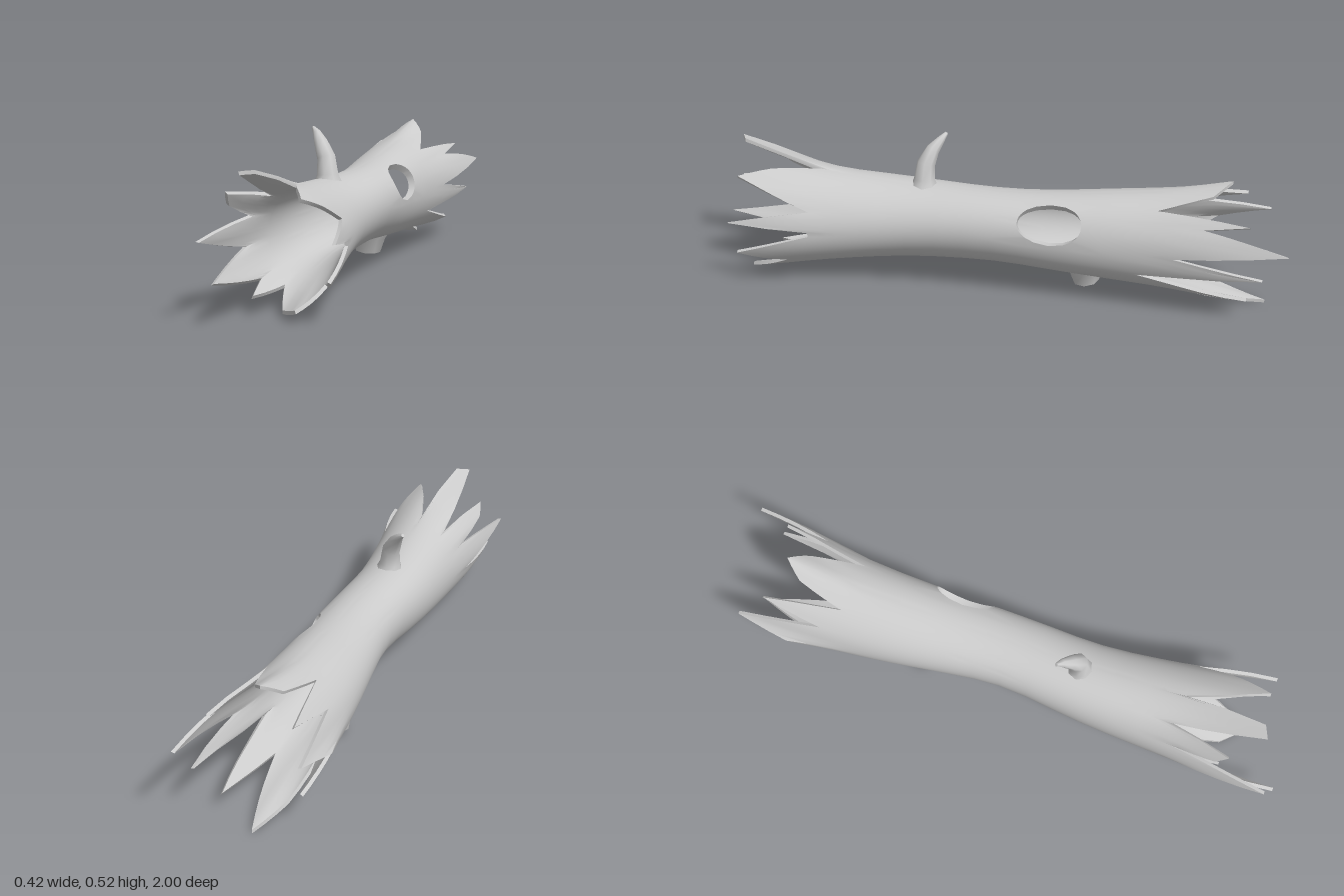
import * as THREE from 'three';
import { toCreasedNormals } from 'three/addons/utils/BufferGeometryUtils.js';

const COLS = 72; // one column of the shell every 5 degrees

// splintered ends: [angle in degrees, z, radius at a tip (optional)]
const FRONT = [
  [0, 0.63], [10, 0.9, 0.21], [25, 0.63], [45, 0.78], [60, 0.89, 0.19], [75, 0.78], [90, 0.62],
  [100, 0.9, 0.25], [110, 0.92, 0.26], [125, 0.6], [135, 0.82, 0.24], [145, 0.78, 0.22], [155, 0.64],
  [170, 0.97, 0.21], [190, 0.65], [210, 1.0, 0.17], [230, 0.66], [240, 0.8], [255, 0.62],
  [270, 0.78, 0.21], [290, 0.86, 0.2], [315, 0.72], [335, 0.88, 0.2], [355, 0.63],
];
const BACK = [
  [0, -0.62], [15, -1.0, 0.215], [35, -0.72], [40, -0.87, 0.2], [55, -0.56], [75, -0.74], [90, -0.8, 0.22],
  [105, -0.74], [120, -0.58], [135, -0.85, 0.19], [150, -0.64], [165, -0.93, 0.2], [180, -0.75, 0.21],
  [195, -0.66], [215, -0.85, 0.19], [235, -0.6], [250, -0.78, 0.22], [265, -0.93, 0.235], [290, -0.6],
  [305, -0.87, 0.2], [330, -0.5], [345, -0.92, 0.19],
];
// trunk stations: z, centre x, centre y, outer radius
const TRUNK = [
  [-1, 0, 0.235, 0.2], [-0.8, 0, 0.235, 0.195], [-0.6, -0.01, 0.23, 0.17], [-0.4, -0.008, 0.23, 0.155],
  [-0.2, 0, 0.23, 0.137], [0, 0.006, 0.237, 0.124], [0.3, -0.02, 0.227, 0.137],
  [0.6, -0.008, 0.22, 0.163], [0.8, 0, 0.22, 0.19], [1, 0, 0.22, 0.2],
];
const BODY_ROWS = [-0.45, -0.38, -0.31, -0.255, -0.2, -0.145, -0.09, 0, 0.1, 0.2, 0.3, 0.4, 0.5];
const TEETH_ROWS = 4;
// knot hole: block of cells removed, its border drawn into an ellipse
const HOLE = { c0: 0, c1: 12, r0: TEETH_ROWS + 2, r1: TEETH_ROWS + 6, deg: 30, z: -0.2, dDeg: 30, dz: 0.11 };

// linear lookup in a table sorted by its first column
function lookup(table, x) {
  let i = 0;
  while (i < table.length - 2 && table[i + 1][0] < x) i++;
  const a = table[i], b = table[i + 1];
  const t = THREE.MathUtils.clamp((x - a[0]) / (b[0] - a[0]), 0, 1);
  return a.map((v, k) => v + (b[k] - v) * t);
}

function trunkAt(z) {
  // average nearby stations so the waist is soft
  const s = [-0.08, 0, 0.08].map((d) => lookup(TRUNK, z + d));
  return s[0].map((_, k) => (s[0][k] + s[1][k] + s[2][k]) / 3);
}

// end outline as [angle, z, flare]
function outline(list) {
  const pts = list.map(([a, z, r]) => [a, z, r ? r - trunkAt(z)[3] : 0]);
  return [...pts, [360, pts[0][1], pts[0][2]]];
}

function addQuad(out, a, b, c, d) {
  for (const p of [a, b, c, a, c, d]) out.push(p.x, p.y, p.z);
}

function toGeometry(out, crease) {
  const g = new THREE.BufferGeometry();
  g.setAttribute('position', new THREE.Float32BufferAttribute(out, 3));
  return toCreasedNormals(g, crease);
}

function shellGeometry() {
  const front = outline(FRONT), back = outline(BACK);
  const rows = BODY_ROWS.length + 2 * TEETH_ROWS;
  const outer = [], inner = [];
  for (let j = 0; j < rows; j++) {
    outer.push([]); inner.push([]);
    for (let i = 0; i < COLS; i++) {
      let deg = i * 360 / COLS, z, k = 0, flare = 0;
      const jb = j - TEETH_ROWS, over = jb - BODY_ROWS.length + 1;
      if (jb < 0 || over > 0) {
        const end = lookup(jb < 0 ? back : front, deg);
        k = (jb < 0 ? -jb : over) / TEETH_ROWS;
        z = THREE.MathUtils.lerp(jb < 0 ? BODY_ROWS[0] : BODY_ROWS.at(-1), end[1], k);
        flare = end[2] * k * k;
      } else z = BODY_ROWS[jb];
      const H = HOLE;
      if (i >= H.c0 && i <= H.c1 && j >= H.r0 && j <= H.r1) {
        const u = (deg - H.deg) / H.dDeg, v = (z - H.z) / H.dz, len = Math.hypot(u, v);
        if (len > 0) { deg = H.deg + H.dDeg * u / len; z = H.z + H.dz * v / len; }
      }
      const [, cx, cy, r] = trunkAt(z);
      const a = THREE.MathUtils.degToRad(deg);
      const bark = r + flare + 0.003 * Math.sin(3 * a + 4 * z);
      const wall = 0.024 - 0.012 * k;
      const at = (q) => new THREE.Vector3(cx + q * Math.cos(a), Math.max(0, cy + q * Math.sin(a)), z);
      outer[j].push(at(bark));
      inner[j].push(at(bark - wall));
    }
  }
  const solid = (i, j) => j >= 0 && j < rows - 1 &&
    !(i >= HOLE.c0 && i < HOLE.c1 && j >= HOLE.r0 && j < HOLE.r1);
  const out = [];
  for (let j = 0; j < rows - 1; j++) {
    for (let i = 0; i < COLS; i++) {
      if (!solid(i, j)) continue;
      const n = (i + 1) % COLS, p = (i + COLS - 1) % COLS;
      const loop = [[i, j], [n, j], [n, j + 1], [i, j + 1]];
      const o = loop.map(([c, r]) => outer[r][c]), q = loop.map(([c, r]) => inner[r][c]);
      addQuad(out, ...o);
      addQuad(out, q[3], q[2], q[1], q[0]);
      // rim walls where the neighbouring cell is missing
      [[i, j - 1], [n, j], [i, j + 1], [p, j]].forEach(([c, r], e) => {
        const f = (e + 1) % 4;
        if (!solid(c, r)) addQuad(out, o[f], o[e], q[e], q[f]);
      });
    }
  }
  return toGeometry(out, 0.7);
}

// tapered limb through rings [x, y, z, radius], closed at its far end
function limbGeometry(rings, sides) {
  const path = new THREE.CatmullRomCurve3(rings.map((r) => new THREE.Vector3(r[0], r[1], r[2])));
  const loops = rings.map((r, k) => {
    const dir = path.getTangent(k / (rings.length - 1));
    const u = new THREE.Vector3(0, 0, 1).cross(dir).normalize();
    const v = dir.clone().cross(u);
    return Array.from({ length: sides }, (_, i) => {
      const a = i / sides * Math.PI * 2;
      return new THREE.Vector3(r[0], r[1], r[2])
        .addScaledVector(u, r[3] * Math.cos(a)).addScaledVector(v, r[3] * Math.sin(a));
    });
  });
  const out = [], top = loops.at(-1);
  for (let i = 0; i < sides; i++) {
    const n = (i + 1) % sides;
    for (let k = 0; k < loops.length - 1; k++) {
      addQuad(out, loops[k][i], loops[k][n], loops[k + 1][n], loops[k + 1][i]);
    }
    if (i > 0 && i < sides - 1) for (const p of [top[0], top[i], top[n]]) out.push(p.x, p.y, p.z);
  }
  return toGeometry(out, 0.9);
}

export function createModel() {
  const group = new THREE.Group();
  group.name = 'hollowLog';
  const wood = new THREE.MeshStandardMaterial({ color: 0xcccccc });
  const add = (name, geometry) => {
    const mesh = new THREE.Mesh(geometry, wood);
    mesh.name = name;
    group.add(mesh);
  };
  add('trunkShell', shellGeometry());
  // curved broken twig on top
  add('twig', limbGeometry([
    [-0.018, 0.345, 0.255, 0.05], [-0.02, 0.375, 0.255, 0.037], [-0.026, 0.43, 0.25, 0.032],
    [-0.05, 0.475, 0.23, 0.024], [-0.072, 0.505, 0.205, 0.014], [-0.09, 0.522, 0.19, 0.006],
  ], 8));
  // sawn-off stub underneath
  add('stub', limbGeometry([
    [-0.035, 0.105, -0.305, 0.075], [-0.037, 0.075, -0.305, 0.06], [-0.043, 0.025, -0.31, 0.047],
  ], 8));
  return group;
}
